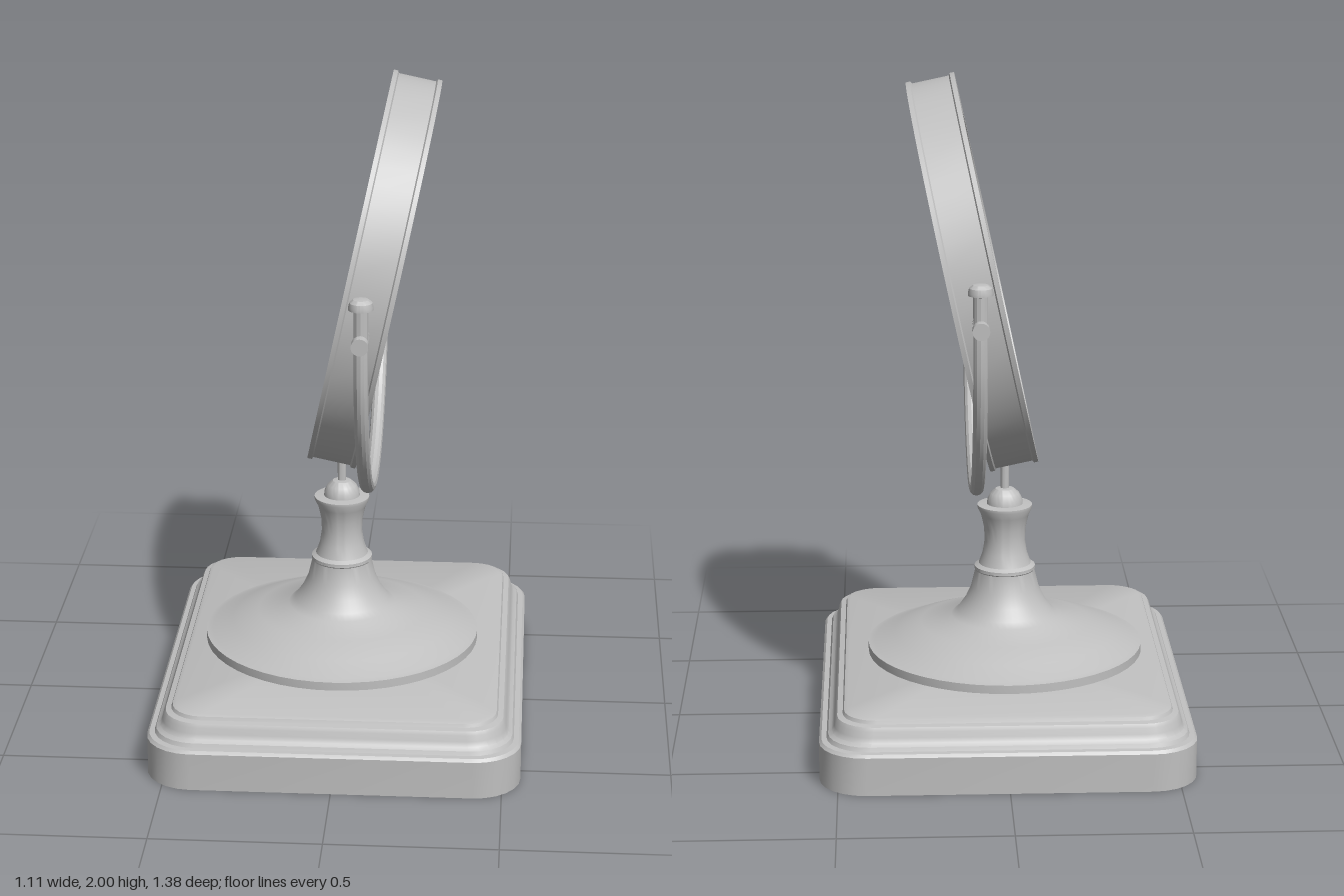
import * as THREE from 'three';
import { toCreasedNormals } from 'three/addons/utils/BufferGeometryUtils.js';

const greyMetal = new THREE.MeshStandardMaterial({ color: 0xc0c0c0, side: THREE.DoubleSide });
greyMetal.name = 'grey metal';

const CREASE = 0.5;

function part(name, geometry, x = 0, y = 0, z = 0) {
  const mesh = new THREE.Mesh(toCreasedNormals(geometry, CREASE), greyMetal);
  mesh.name = name;
  mesh.position.set(x, y, z);
  return mesh;
}

function lathe(profile, segments = 40) {
  return new THREE.LatheGeometry(profile.map(([r, y]) => new THREE.Vector2(r, y)), segments);
}

// Rounded-rectangle outline, counter-clockwise seen from above
function outline(inset, y) {
  const steps = 6, r = 0.14 - inset * 0.6, hx = 0.555 - inset, hz = 0.69 - inset;
  const points = [];
  [[1, -1], [-1, -1], [-1, 1], [1, 1]].forEach(([sx, sz], corner) => {
    for (let i = 0; i <= steps; i++) {
      const a = (corner + i / steps) * Math.PI / 2;
      points.push([sx * (hx - r) + r * Math.cos(a), y, sz * (hz - r) - r * Math.sin(a)]);
    }
  });
  return points;
}

// Stepped plinth: a shell open below, lofted through shrinking outlines
function plinthGeometry() {
  const steps = [[0, 0], [0, 0.115], [0.007, 0.124], [0.022, 0.126], [0.027, 0.138], [0.038, 0.146],
    [0.045, 0.16], [0.048, 0.178], [0.054, 0.189], [0.07, 0.193], [0.074, 0.203], [0.085, 0.208]];
  const rings = steps.map(([inset, y]) => outline(inset, y));
  const n = rings[0].length;
  const positions = rings.flat(2);
  const index = [];
  for (let k = 0; k < rings.length - 1; k++) {
    for (let i = 0; i < n; i++) {
      const a = k * n + i, b = k * n + (i + 1) % n;
      index.push(a, b, b + n, a, b + n, a + n);
    }
  }
  // Top plate
  const last = (rings.length - 1) * n, centre = rings.length * n;
  positions.push(0, 0.208, 0);
  for (let i = 0; i < n; i++) index.push(centre, last + i, last + (i + 1) % n);
  const geometry = new THREE.BufferGeometry();
  geometry.setAttribute('position', new THREE.Float32BufferAttribute(positions, 3));
  geometry.setIndex(index);
  return geometry;
}

// U-shaped path of the yoke
function yokeCurve() {
  const R = 0.57, drop = 0.56, centreY = 1.305;
  const points = [new THREE.Vector3(0, 1.45, R), new THREE.Vector3(0, 1.38, R)];
  for (let i = 0; i <= 16; i++) {
    const a = i / 16 * Math.PI;
    points.push(new THREE.Vector3(0, centreY - drop * Math.sin(a), R * Math.cos(a)));
  }
  points.push(new THREE.Vector3(0, 1.38, -R), new THREE.Vector3(0, 1.45, -R));
  return new THREE.CatmullRomCurve3(points);
}

export function createModel() {
  const model = new THREE.Group();
  model.name = 'tilting table mirror';

  model.add(part('plinth', plinthGeometry()));

  // Turned pedestal, from wide foot to ball top
  const axisX = -0.012;
  model.add(part('pedestal', lathe([
    [0.422, 0.208], [0.422, 0.234], [0.403, 0.238], [0.34, 0.268], [0.26, 0.297], [0.165, 0.32],
    [0.145, 0.337], [0.122, 0.37], [0.104, 0.41], [0.091, 0.465],
    [0.093, 0.468], [0.093, 0.478], [0.08, 0.486], [0.068, 0.52], [0.062, 0.56], [0.064, 0.6],
    [0.073, 0.64], [0.084, 0.663], [0.084, 0.672], [0.055, 0.675],
    [0.053, 0.69], [0.044, 0.708], [0.028, 0.722], [0, 0.727],
  ], 48), axisX));
  model.add(part('stem', new THREE.CylinderGeometry(0.013, 0.013, 0.09, 16), axisX, 0.76));

  // Yoke with finials and pivot screws on both arms
  const yoke = new THREE.Group();
  yoke.name = 'yoke';
  yoke.position.x = 0.08;
  yoke.add(part('yokeArm', new THREE.TubeGeometry(yokeCurve(), 72, 0.021, 12)));
  for (const side of [1, -1]) {
    yoke.add(part('finial', lathe([
      [0, 1.448], [0.02, 1.448], [0.036, 1.452], [0.036, 1.46], [0.033, 1.473], [0.022, 1.482], [0, 1.486],
    ], 24), 0, 0, side * 0.57));
    const knobs = [['pivotShaft', 0.012, 0.5, 0.62], ['innerCollar', 0.023, 0.527, 0.538], ['pivotKnob', 0.025, 0.604, 0.635]];
    for (const [name, r, from, to] of knobs) {
      const cylinder = new THREE.CylinderGeometry(r, r, to - from, 20).rotateX(Math.PI / 2);
      yoke.add(part(name, cylinder, 0, 1.36, side * (from + to) / 2));
    }
  }
  model.add(yoke);

  // Oval mirror: frame and recessed glass, stretched and tilted back
  const mirror = new THREE.Group();
  mirror.name = 'mirror';
  mirror.position.set(0.085, 1.395, 0);
  mirror.rotation.z = THREE.MathUtils.degToRad(78);
  const oval = (profile) => lathe(profile, 56).scale(1.15, 1, 1);
  mirror.add(part('frame', oval([
    [0, -0.0735], [0.522, -0.0735], [0.522, -0.06], [0.516, -0.056],
    [0.516, 0.056], [0.522, 0.06], [0.522, 0.0735], [0.412, 0.0735], [0.4, 0.043],
  ])));
  mirror.add(part('glass', oval([[0.402, 0.043], [0, 0.043]])));
  model.add(mirror);

  return model;
}
